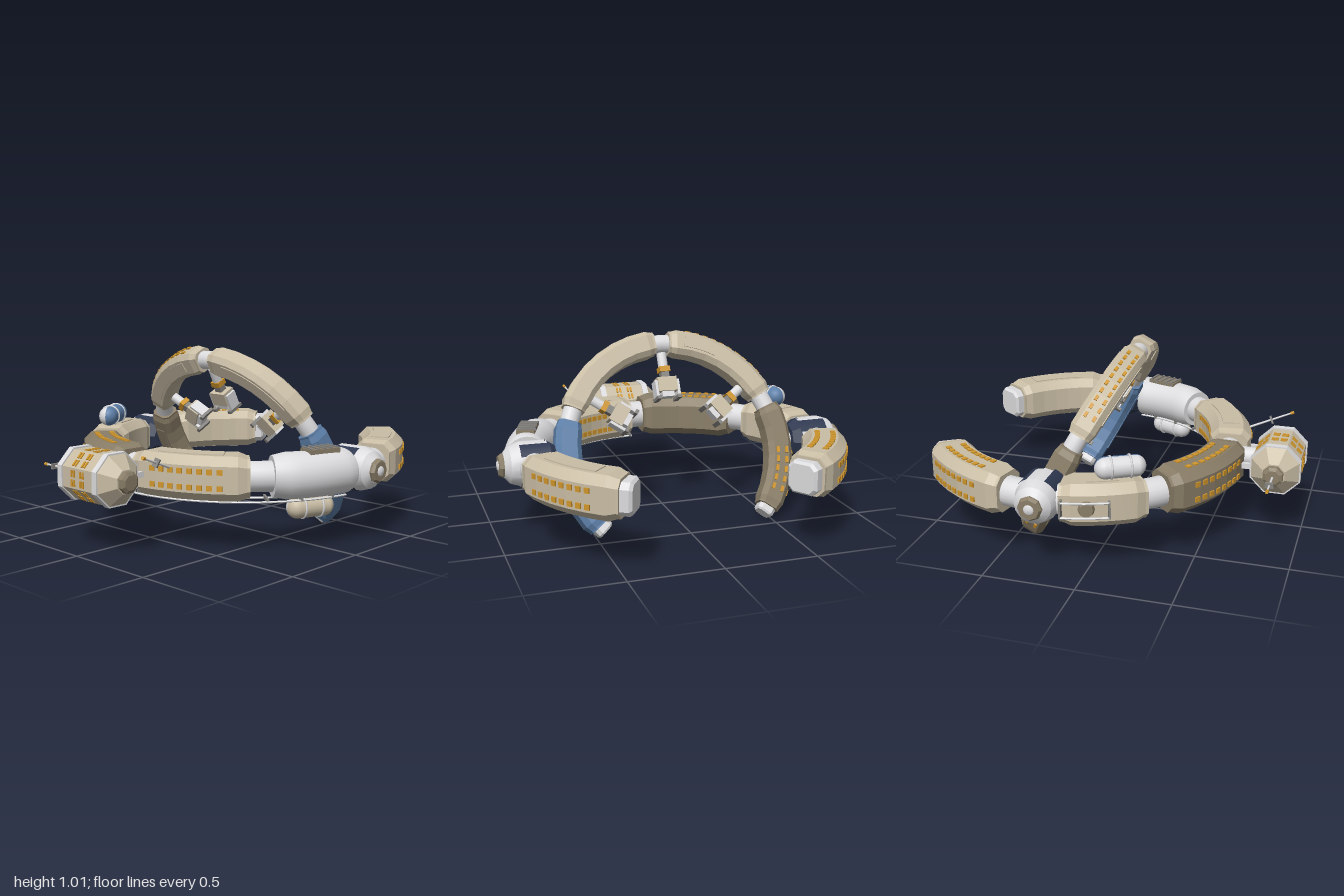
import * as THREE from 'three';
import { toCreasedNormals } from 'three/addons/utils/BufferGeometryUtils.js';

const D = Math.PI / 180;

export function createModel() {
  const mat = (name, color) => { const m = new THREE.MeshStandardMaterial({ color }); m.name = name; return m; };
  const tan = mat('tan hull', 0xc9bda5), brown = mat('dark tan hull', 0x8a7e68), white = mat('white metal', 0xdcdcde);
  const navy = mat('navy', 0x2e3850), blue = mat('blue hull', 0x5d7fa8), amber = mat('amber window', 0xd0962c);
  const gray = mat('gray metal', 0x85837f);

  const root = new THREE.Group();
  root.name = 'ringStation';
  const group = (name, parent = root) => { const g = new THREE.Group(); g.name = name; parent.add(g); return g; };
  const add = (parent, name, geo, m, x = 0, y = 0, z = 0) => {
    const o = new THREE.Mesh(geo, m);
    o.name = name; o.position.set(x, y, z); parent.add(o); return o;
  };
  const box = (x, y, z) => new THREE.BoxGeometry(x, y, z);
  const flat = (g, crease = 0.2) => toCreasedNormals(g, crease);

  // Cross-sections as [radial, height] points, counterclockwise
  const octagon = (h, c) => [[h, c - h], [h, h - c], [h - c, h], [c - h, h], [-h, h - c], [-h, c - h], [c - h, -h], [h - c, -h]];
  const circle = (r, n) => Array.from({ length: n }, (_, i) => [r * Math.cos(i * 2 * Math.PI / n), r * Math.sin(i * 2 * Math.PI / n)]);

  // Sweep a section along a ring; stations are [angle in degrees, scale]
  function sweep(R, section, stations, crease = 0.1) {
    const pos = [], idx = [], n = section.length, last = (stations.length - 1) * n;
    for (const [deg, s] of stations) {
      const a = deg * D;
      for (const [r, y] of section) pos.push((R + r * s) * Math.cos(a), y * s, (R + r * s) * Math.sin(a));
    }
    for (let i = 0; i < stations.length - 1; i++) for (let j = 0; j < n; j++) {
      const k = (j + 1) % n, p = i * n, q = p + n;
      idx.push(p + j, p + k, q + k, p + j, q + k, q + j);
    }
    for (let j = 1; j < n - 1; j++) idx.push(0, j + 1, j, last, last + j, last + j + 1);
    const g = new THREE.BufferGeometry();
    g.setAttribute('position', new THREE.Float32BufferAttribute(pos, 3));
    g.setIndex(idx);
    return flat(g, crease);
  }
  const range = (a, b, n) => Array.from({ length: n + 1 }, (_, i) => [a + (b - a) * i / n, 1]);
  const hull = (a, b, n) => [[a, 0.87], [a + 1, 0.87], ...range(a + 4, b - 4, n), [b - 1, 0.87], [b, 0.87]];

  // Put a mesh on a ring: local x is radial, local z runs along the ring
  const seat = (o, R, deg, r, y) => {
    o.position.set((R + r) * Math.cos(deg * D), y, (R + r) * Math.sin(deg * D));
    o.rotation.y = -deg * D; return o;
  };

  // Two rows of windows on one face of a hull segment
  function windows(parent, R, half, a, b, face, count) {
    const g = group('windows', parent), off = half * 0.36, step = (b - a) / count;
    const side = face === 'outer' || face === 'inner', sign = face === 'outer' || face === 'top' ? 1 : -1;
    for (let i = 0; i < count; i++) for (const row of [-off, off]) {
      const len = R * step * D * 0.62, w = half * 0.24;
      const o = add(g, 'window', side ? box(0.009, w, len) : box(w, 0.009, len), amber);
      seat(o, R, a + (i + 0.5) * step, side ? sign * (half + 0.002) : row, side ? row : sign * (half + 0.002));
    }
  }
  // Raised panel on the top (+1) or bottom (-1) of a segment
  const panel = (parent, R, half, a, b, s, m) =>
    add(parent, 'panel', sweep(R, [[half * 0.42, -0.005], [half * 0.42, 0.005], [-half * 0.42, 0.005], [-half * 0.42, -0.005]], range(a, b, 6)), m, 0, s * half, 0);

  // Main ring, lying flat
  const R1 = 0.81, H1 = 0.115;
  const main = group('mainRing');
  main.position.set(0.24, 0.39, 0);
  add(main, 'mainCore', sweep(R1, circle(0.08, 20), range(37, 323, 48), 0.6), white);
  const mainParts = [
    [36, 77, tan, ['outer', 'bottom'], 1], [135, 177, tan, ['inner', 'outer'], 1],
    [183, 225, brown, ['top', 'outer'], -1], [233, 262, tan, [], 1], [283, 324, tan, ['top', 'outer'], -1]];
  for (const [a, b, m, faces, side] of mainParts) {
    const seg = group('mainSegment', main);
    add(seg, 'segmentHull', sweep(R1, octagon(H1, 0.045), hull(a, b, 5)), m);
    for (const f of faces) windows(seg, R1, H1, a + 8, b - 8, f, 8);
    panel(seg, R1, H1, a + 9, b - 9, side, m);
  }
  for (const [a, b] of [[32, 36], [324, 328]])
    add(main, 'mainEndCap', sweep(R1, octagon(0.085, 0.03), [[a, a < 90 ? 0.85 : 1], [a + 1, 1], [b - 1, 1], [b, a < 90 ? 1 : 0.85]]), white);

  // White round tank section with a vent on top
  add(main, 'tankSection', sweep(R1, circle(0.122, 24), [[97, 0.95], [98, 1], ...range(101, 122, 6), [127, 0.88]], 0.6), white);
  const vent = group('vent', main);
  seat(add(vent, 'ventBase', box(0.1, 0.03, 0.18), brown), R1, 108, 0, 0.118);
  for (let i = -2; i <= 2; i++) seat(add(vent, 'ventSlat', box(0.1, 0.025, 0.012), gray), R1, 108 + i * 2.7, 0, 0.128);

  // Rails under the front and behind the back segment
  for (const r of [-0.05, 0.06]) add(main, 'lowerRail', sweep(R1, circle(0.006, 6), range(98, 178, 24), 0.9), white, r * -0.2, -0.122, 0).scale.set(1 + r, 1, 1 + r);
  for (let a = 105; a < 178; a += 12) seat(add(main, 'railPost', box(0.12, 0.02, 0.012), gray), R1, a, 0, -0.115);
  for (const y of [-0.04, 0.04]) add(main, 'backRail', sweep(0.95, circle(0.006, 6), range(246, 261, 6), 0.9), white, 0, y, 0);
  for (const a of [246, 261]) seat(add(main, 'railPost', box(0.05, 0.09, 0.01), gray), R1, a, 0.12, 0);
  seat(add(main, 'backPort', flat(new THREE.CylinderGeometry(0.035, 0.045, 0.03, 10).rotateZ(-Math.PI / 2)), brown), R1, 253, 0.125, 0);

  // Joint hubs, front and back
  const turned = (pts, n, start = 0, len = Math.PI * 2) =>
    new THREE.LatheGeometry(pts.map(p => new THREE.Vector2(...p)), n, start, len).rotateX(Math.PI / 2);
  for (const s of [1, -1]) {
    const hub = group(s > 0 ? 'frontHub' : 'backHub');
    hub.position.set(0.24, 0.39, 0);
    hub.rotation.y = s > 0 ? 0 : Math.PI;
    add(hub, 'hubBody', flat(turned([[0.118, 0.72], [0.12, 0.86], [0.1, 0.92], [0.065, 0.95], [0, 0.95]], 16), 0.5), white);
    add(hub, 'hubInnerCone', flat(turned([[0, 0.675], [0.085, 0.675], [0.122, 0.73]], 8)), navy);
    add(hub, 'hubPort', flat(turned([[0.066, 0.93], [0.066, 0.96], [0.055, 0.975], [0, 0.975]], 8)), brown);
    add(hub, 'hubPortLight', turned([[0.028, 0.975], [0.02, 0.983], [0, 0.985]], 12), white);
    add(hub, 'hubNeck', new THREE.CylinderGeometry(0.05, 0.05, 0.1, 16).rotateX(Math.PI / 2), white, 0, 0, 0.65);
    for (const c of [40, 140, 220, 320])
      add(hub, 'hubPatch', turned([[0.124, 0.71], [0.125, 0.87]], 4, (c - 18) * D, 36 * D), navy);
  }

  // Tilted inner ring, hinged between the hubs
  const R2 = 0.605, H2 = 0.07;
  const inner = group('innerRing');
  inner.position.set(0.24, 0.39, 0);
  inner.rotation.z = 117.4 * D;
  add(inner, 'innerCore', sweep(R2, circle(0.052, 16), range(-127, 127, 44), 0.6), white);
  const innerParts = [
    [4, 64, tan, [], 0], [-64, -4, tan, ['outer'], 1],
    [71, 128, blue, [], 1], [-128, -71, brown, ['outer', 'bottom'], 0]];
  for (const [a, b, m, faces, plate] of innerParts) {
    const seg = group('innerSegment', inner);
    add(seg, 'segmentHull', sweep(R2, octagon(H2, 0.027), hull(a, b, 6)), m);
    for (const f of faces) {
      const lower = a < -100;
      windows(seg, R2, H2, a + 8, lower ? a + 34 : b - 8, f, lower ? 5 : 10);
    }
    panel(seg, R2, H2, a + 10, b - 10, 1, m);
    if (plate) panel(seg, R2, H2, a + 34, b - 8, -1, m);
  }
  for (const s of [1, -1])
    add(inner, 'innerEndCap', sweep(R2, octagon(0.048, 0.018), s > 0 ? [[127, 1], [131, 1], [132, 0.85]] : [[-132, 0.85], [-131, 1], [-127, 1]]), white);

  // Small docked craft hanging inside the inner ring
  for (const a of [-54, 0, 54]) {
    const craft = group('dockedCraft', inner);
    seat(craft, 0, a, 0, 0);
    add(craft, 'dockStem', new THREE.CylinderGeometry(0.028, 0.028, 0.1, 12).rotateZ(Math.PI / 2), white, 0.5);
    add(craft, 'dockRing', box(0.03, 0.06, 0.06), amber, 0.455);
    add(craft, 'craftNeck', box(0.04, 0.045, 0.045), gray, 0.425);
    add(craft, 'craftBody', box(0.08, 0.085, 0.11), tan, 0.365);
    add(craft, 'craftNose', box(0.04, 0.06, 0.07), white, 0.315);
    for (const s of [1, -1]) {
      add(craft, 'craftSkid', box(0.1, 0.07, 0.016), white, 0.34, 0, s * 0.062);
      add(craft, 'craftFoot', box(0.018, 0.1, 0.025), gray, 0.29, 0, s * 0.058);
    }
  }

  // Two-tone capsule tanks beside the ring
  function tank(name, deg, y, m) {
    const g = group(name, main), r = 0.058, L = 0.075, pts = [];
    for (let i = 0; i <= 12; i++) {
      const t = (i / 12 - 0.5) * Math.PI;
      pts.push([Math.max(0, r * Math.cos(t)), r * Math.sin(t) + (i < 6 ? -L : L)]);
    }
    seat(g, R1, deg, 0, y);
    const front = deg > 180 ? Math.PI : 0;
    add(g, 'tankSide', turned(pts, 10, front, Math.PI), m);
    add(g, 'tankBack', turned(pts, 10, front + Math.PI, Math.PI), white);
    for (const z of [-0.05, 0.05]) {
      add(g, 'tankBand', new THREE.TorusGeometry(r, 0.006, 6, 20), white, 0, 0, z);
      add(g, 'tankMount', box(0.03, 0.06, 0.02), gray, 0, y > 0 ? -0.05 : 0.05, z);
    }
  }
  tank('upperTank', 241, 0.17, blue);
  tank('lowerTank', 112, -0.17, tan);

  // Octagonal side module
  const mod = group('sideModule');
  mod.position.set(-0.855, 0.39, 0);
  const eight = pts => flat(turned(pts, 8).rotateZ(Math.PI / 8));
  add(mod, 'moduleBody', eight([[0.14, -0.13], [0.14, 0.125]]), tan);
  for (const s of [1, -1]) {
    const end = group('moduleEnd', mod);
    end.rotation.y = s > 0 ? 0 : Math.PI;
    add(end, 'moduleRim', eight([[0.14, 0.12], [0.148, 0.12], [0.148, 0.155], [0.13, 0.155]]), white);
    add(end, 'moduleCone', eight([[0.14, 0.155], [0.065, 0.225], [0, 0.225]]), tan);
    add(end, 'moduleHatch', eight([[0.058, 0.22], [0.058, 0.25], [0.04, 0.26], [0, 0.26]]), brown);
    add(mod, 'moduleStrut', box(0.16, 0.03, 0.025), white, 0.15, 0, s * 0.135);
  }
  add(mod, 'moduleTunnel', new THREE.CylinderGeometry(0.052, 0.052, 0.26, 16).rotateZ(Math.PI / 2), white, 0.19);
  for (let i = 0; i < 8; i++) {
    const face = group('moduleWindows', mod);
    face.rotation.z = i * Math.PI / 4;
    for (const z of [-0.045, -0.025, 0.025, 0.045]) for (const y of [-0.024, 0.024])
      add(face, 'window', box(0.009, 0.036, 0.011), amber, 0.14 * Math.cos(Math.PI / 8) + 0.001, y, z);
  }

  // Antennas with a cross-piece and a bright tip
  function antenna(from, to) {
    const g = group('antenna'), a = new THREE.Vector3(...from), b = new THREE.Vector3(...to), len = a.distanceTo(b);
    g.position.copy(a);
    g.quaternion.setFromUnitVectors(new THREE.Vector3(0, 1, 0), b.sub(a).normalize());
    add(g, 'mast', new THREE.CylinderGeometry(0.005, 0.007, len, 8), white, 0, len / 2);
    add(g, 'crossPiece', box(0.045, 0.012, 0.03), gray, 0, len * 0.58);
    add(g, 'tip', new THREE.CylinderGeometry(0.009, 0.009, 0.022, 8), amber, 0, len);
  }
  antenna([-0.855, 0.39, -0.25], [-0.855, 0.39, -0.435]);
  antenna([-0.6, 0.43, 0.29], [-0.87, 0.53, 0.37]);

  return root;
}
